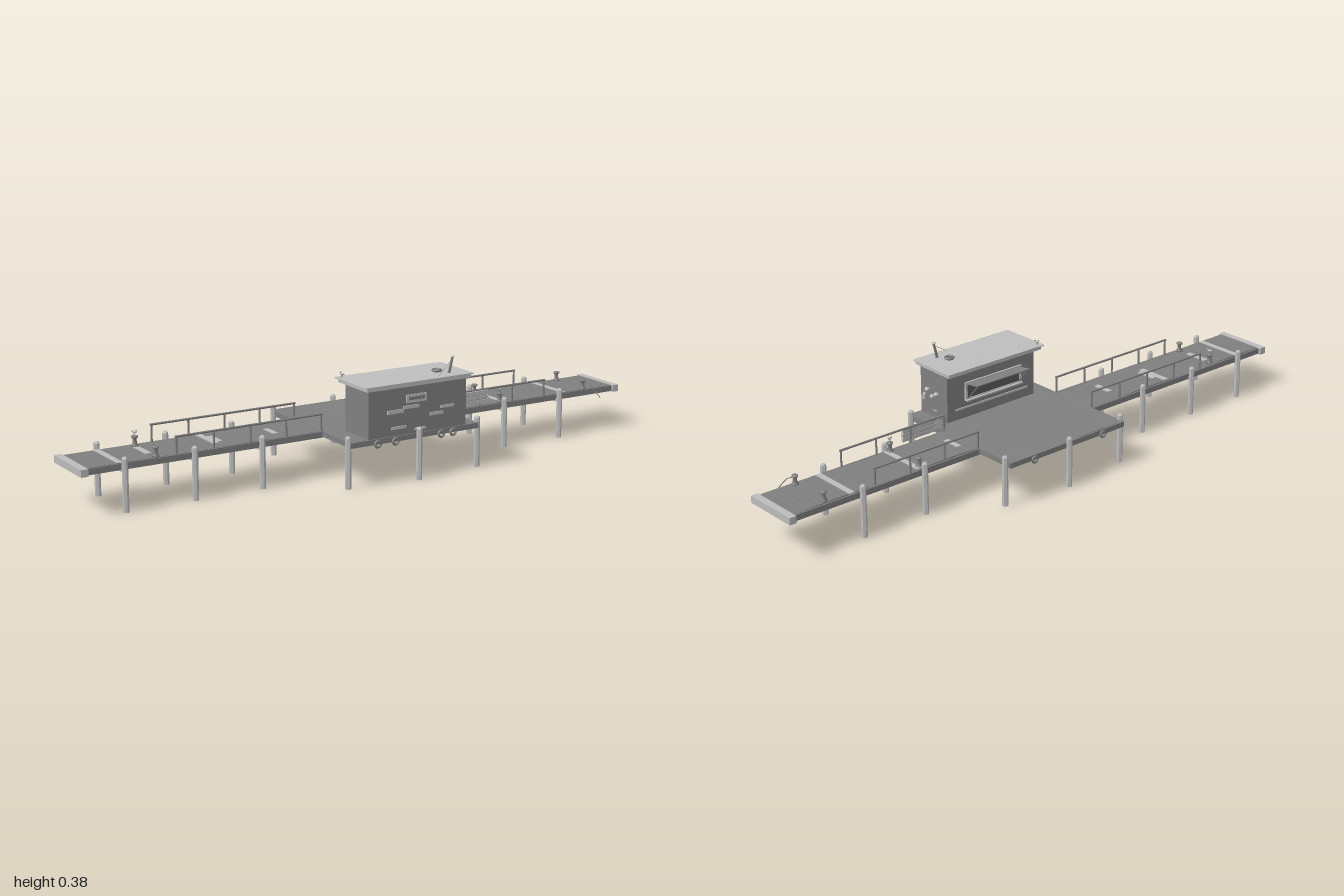
import * as THREE from 'three';

const mat = (name, color, extra = {}) => {
  const m = new THREE.MeshStandardMaterial({ color, ...extra });
  m.name = name;
  return m;
};

export function createModel() {
  const root = new THREE.Group();
  root.name = 'pier';
  const pale = mat('paleWood', 0xbcbcbc);
  const sheet = mat('roofSheet', 0xbcbcbc, { side: THREE.DoubleSide });
  const wood = mat('darkWood', 0x808080);
  const dark = mat('shadowWood', 0x5a5a5a);

  const add = (name, geo, m, x, y, z, parent = root) => {
    const mesh = new THREE.Mesh(geo, m);
    mesh.name = name;
    mesh.position.set(x, y, z);
    parent.add(mesh);
    return mesh;
  };
  // box given by its extents
  const box = (name, m, x0, x1, y0, y1, z0, z1, parent) =>
    add(name, new THREE.BoxGeometry(x1 - x0, y1 - y0, z1 - z0), m, (x0 + x1) / 2, (y0 + y1) / 2, (z0 + z1) / 2, parent);
  // round bar between two points
  const bar = (name, m, a, b, r, r2 = r, sides = 10) => {
    const A = new THREE.Vector3(...a), B = new THREE.Vector3(...b), d = B.clone().sub(A);
    const mesh = add(name, new THREE.CylinderGeometry(r2, r, d.length(), sides), m, ...A.clone().add(B).multiplyScalar(0.5).toArray());
    mesh.quaternion.setFromUnitVectors(new THREE.Vector3(0, 1, 0), d.normalize());
    return mesh;
  };
  const rope = (name, pts, r = 0.0012) =>
    add(name, new THREE.TubeGeometry(new THREE.CatmullRomCurve3(pts.map(p => new THREE.Vector3(...p))), 12, r, 6), wood, 0, 0, 0);

  // deck slabs with slightly raised cross planks
  const planks = (name, x0, x1, z0, z1, pitch) => {
    const n = Math.round((x1 - x0) / pitch), w = (x1 - x0) / n;
    for (let i = 0; i < n; i++) {
      const jig = 0.002 * Math.sin(i * 12.9);
      box(name, wood, x0 + i * w + 0.0006, x0 + (i + 1) * w - 0.0006, 0.138, 0.147 + jig * 0.4, z0 + jig, z1 + jig);
    }
  };
  for (const [x0, x1] of [[-0.98, -0.18], [0.288, 0.98]]) {
    box('walkwayBase', wood, x0, x1, 0.13, 0.143, -0.1, 0.067);
    planks('walkwayPlank', x0, x1, -0.1, 0.067, 0.022);
    for (const z of [-0.104, 0.07]) box('walkwayEdge', wood, x0, x1, 0.127, 0.146, z - 0.003, z + 0.003);
  }
  box('platformBase', wood, -0.178, 0.286, 0.13, 0.143, -0.246, 0.238);
  planks('platformPlank', -0.178, 0.286, -0.246, 0.238, 0.022);
  for (const z of [-0.249, 0.241]) box('platformEdge', wood, -0.181, 0.289, 0.13, 0.147, z - 0.003, z + 0.003);
  for (const x of [-0.181, 0.289]) box('platformEdge', wood, x - 0.003, x + 0.003, 0.13, 0.147, -0.25, 0.242);
  for (const s of [-1, 1]) box('endBeam', pale, s * 0.988 - 0.012, s * 0.988 + 0.012, 0.125, 0.148, -0.115, 0.08);

  // new boards among the worn planks
  for (const [x, w, z0, z1] of [[-0.87, 0.02, -0.1, 0.067], [-0.755, 0.02, -0.065, 0.02], [-0.53, 0.02, -0.095, 0.022],
    [-0.51, 0.02, -0.06, 0.01], [-0.32, 0.018, -0.045, 0.02], [0.33, 0.018, -0.055, 0.01], [0.52, 0.018, -0.1, 0.067], [0.77, 0.02, -0.1, 0.067]])
    box('newBoard', pale, x - w / 2, x + w / 2, 0.143, 0.149, z0, z1);

  // six-sided piles with chamfered heads, and cross beams below the walkway
  const pile = (x, z, h) => {
    const pts = [[0, 0], [0.0095, 0], [0.0095, h - 0.005], [0.006, h], [0, h]].map(p => new THREE.Vector2(...p));
    const g = new THREE.LatheGeometry(pts, 6).toNonIndexed();
    g.computeVertexNormals();
    add('pile', g, pale, x, 0, z);
  };
  for (const x of [-0.863, -0.634, -0.404, 0.51, 0.74]) {
    pile(x, 0.085, 0.168);
    pile(x, -0.113, 0.17);
    box('crossBeam', pale, x - 0.006, x + 0.006, 0.121, 0.131, -0.113, 0.085);
  }
  for (const x of [-0.187, 0.295]) for (const z of [-0.23, 0.23]) pile(x, z, 0.166);
  pile(0.056, 0.257, 0.168);
  pile(0.056, -0.257, 0.166);
  box('platformBeam', pale, 0.05, 0.062, 0.122, 0.13, -0.09, 0.08);

  // handrails on both sides of each walkway
  for (const [x0, x1, n] of [[-0.69, -0.18, 4], [0.288, 0.69, 3]])
    for (const z of [-0.1, 0.067]) {
      bar('handrail', wood, [x0, 0.201, z], [x1, 0.201, z], 0.0035);
      for (let i = 0; i <= n; i++) {
        const x = x0 + 0.004 + (x1 - x0 - 0.008) * i / n;
        bar('railPost', wood, [x, 0.146, z], [x, 0.2, z], 0.0032);
      }
    }
  // slatted notice panel on the handrail
  box('panel', wood, 0.324, 0.448, 0.157, 0.198, 0.069, 0.073);
  for (const y of [0.163, 0.178, 0.193]) box('panelSlat', pale, 0.32, 0.452, y - 0.0062, y + 0.0062, 0.067, 0.076);

  // mooring bollards
  const profile = [[0, 0], [0.011, 0], [0.011, 0.004], [0.007, 0.007], [0.006, 0.022], [0.01, 0.026], [0.01, 0.031], [0, 0.033]];
  for (const x of [-0.75, 0.51, 0.86]) for (const z of [-0.085, 0.058])
    add('bollard', new THREE.LatheGeometry(profile.map(p => new THREE.Vector2(...p)), 12), wood, x, 0.147, z);
  rope('mooringRope', [[0.86, 0.172, 0.058], [0.875, 0.165, 0.075], [0.89, 0.14, 0.092], [0.9, 0.12, 0.105]], 0.0015);

  // perched birds
  const bird = (x, y, z, turn) => {
    const g = new THREE.Group();
    g.name = 'bird';
    g.position.set(x, y, z);
    g.rotation.y = turn;
    root.add(g);
    add('birdBody', new THREE.SphereGeometry(0.005, 10, 8), pale, 0, 0.01, 0, g).scale.set(0.8, 0.8, 1.7);
    add('birdHead', new THREE.SphereGeometry(0.003, 8, 6), pale, 0, 0.0155, 0.007, g);
    add('birdBeak', new THREE.ConeGeometry(0.001, 0.004, 5), wood, 0, 0.015, 0.011, g).rotation.x = Math.PI / 2;
    box('birdTail', wood, -0.002, 0.002, 0.01, 0.0115, -0.013, -0.005, g);
    for (const s of [-1, 1]) box('birdLeg', wood, s * 0.002 - 0.0005, s * 0.002 + 0.0005, 0, 0.008, -0.0005, 0.0005, g);
  };
  bird(-0.13, 0.319, 0.102, Math.PI);
  bird(-0.75, 0.18, -0.085, 0.3);
  bird(0.51, 0.18, 0.058, 2);

  // hut
  box('hutWalls', wood, -0.12, 0.243, 0.146, 0.304, 0.108, 0.24);
  box('roofTrim', pale, -0.138, 0.246, 0.303, 0.317, 0.092, 0.262);
  // shallow corrugated roof sheet
  box('roofSlab', pale, -0.146, 0.252, 0.315, 0.318, 0.086, 0.266);
  const roof = new THREE.PlaneGeometry(0.398, 0.18, 264, 1);
  roof.rotateX(-Math.PI / 2);
  const rp = roof.attributes.position;
  for (let i = 0; i < rp.count; i++) rp.setY(i, 0.0006 * Math.cos(rp.getX(i) * 2 * Math.PI * 33 / 0.398));
  roof.computeVertexNormals();
  add('roofSheet', roof, sheet, 0.053, 0.319, 0.176);

  // mended boards and sign on the front wall
  for (const [x, y, w, h] of [[0.055, 0.259, 0.075, 0.026], [-0.022, 0.224, 0.06, 0.012], [0.035, 0.233, 0.06, 0.01],
    [0.13, 0.2, 0.05, 0.01], [0.17, 0.218, 0.05, 0.009], [-0.01, 0.172, 0.055, 0.009], [0.07, 0.16, 0.04, 0.008]])
    box('wallBoard', pale, x - w / 2, x + w / 2, y - h / 2, y + h / 2, 0.239, 0.243);
  box('signFace', wood, 0.026, 0.084, 0.254, 0.264, 0.242, 0.2436);
  // small patch on the side wall
  box('sideBoard', pale, 0.242, 0.245, 0.17, 0.173, 0.16, 0.178);

  // serving hatch, counter and propped shutter on the back wall
  box('hatchOpening', dark, -0.055, 0.165, 0.212, 0.26, 0.105, 0.1075);
  for (const y of [0.209, 0.263]) box('hatchFrame', pale, -0.062, 0.172, y - 0.003, y + 0.003, 0.102, 0.109);
  for (const x of [-0.058, 0.168]) box('hatchFrame', pale, x - 0.004, x + 0.004, 0.209, 0.263, 0.102, 0.109);
  box('counter', pale, -0.062, 0.172, 0.204, 0.209, 0.094, 0.109);
  box('lowerBoard', pale, -0.09, 0.21, 0.178, 0.184, 0.105, 0.109);
  const shutter = box('shutter', wood, -0.055, 0.165, 0.262, 0.265, 0.052, 0.108);
  shutter.rotation.x = 0.14;
  for (const x of [-0.05, 0.16]) bar('shutterProp', wood, [x, 0.21, 0.105], [x, 0.267, 0.054], 0.0018);
  rope('hook', [[-0.1, 0.303, 0.1], [-0.1, 0.295, 0.098], [-0.1, 0.288, 0.1]]);

  // floats hung on the side wall
  const peg = [0.247, 0.27, 0.175];
  for (const [z, y] of [[0.197, 0.237], [0.172, 0.22], [0.152, 0.232]]) {
    bar('floatLine', wood, peg, [0.252, y + 0.008, z], 0.0007);
    add('float', new THREE.SphereGeometry(0.0085, 14, 10), pale, 0.252, y, z);
    add('floatBand', new THREE.TorusGeometry(0.0085, 0.001, 6, 18), wood, 0.252, y, z).rotation.x = Math.PI / 2;
  }
  add('fender', new THREE.CapsuleGeometry(0.006, 0.014, 6, 12), pale, 0.249, 0.207, 0.217);

  // leaning chimney with a stay wire, and a coil on the roof
  bar('chimney', wood, [0.185, 0.318, 0.228], [0.195, 0.37, 0.232], 0.0045, 0.004, 12);
  add('chimneyCap', new THREE.ConeGeometry(0.008, 0.006, 12), pale, 0.195, 0.373, 0.232);
  bar('stayWire', wood, [0.194, 0.362, 0.231], [0.125, 0.319, 0.257], 0.0006);
  add('roofTyre', new THREE.TorusGeometry(0.0125, 0.0045, 10, 24), wood, 0.163, 0.3235, 0.193).rotation.x = Math.PI / 2;

  // tyre fenders along the platform
  const tyres = [[-0.09, 0.247], [-0.025, 0.247], [0.145, 0.247], [0.19, 0.247], [-0.09, -0.253], [0.195, -0.253]];
  for (const [x, z] of tyres) add('tyreFender', new THREE.TorusGeometry(0.0095, 0.004, 10, 20), wood, x, 0.132, z);

  // leaning pole beside the hut
  bar('pole', wood, [0.275, 0.147, 0.085], [0.275, 0.188, 0.076], 0.002);
  return root;
}
